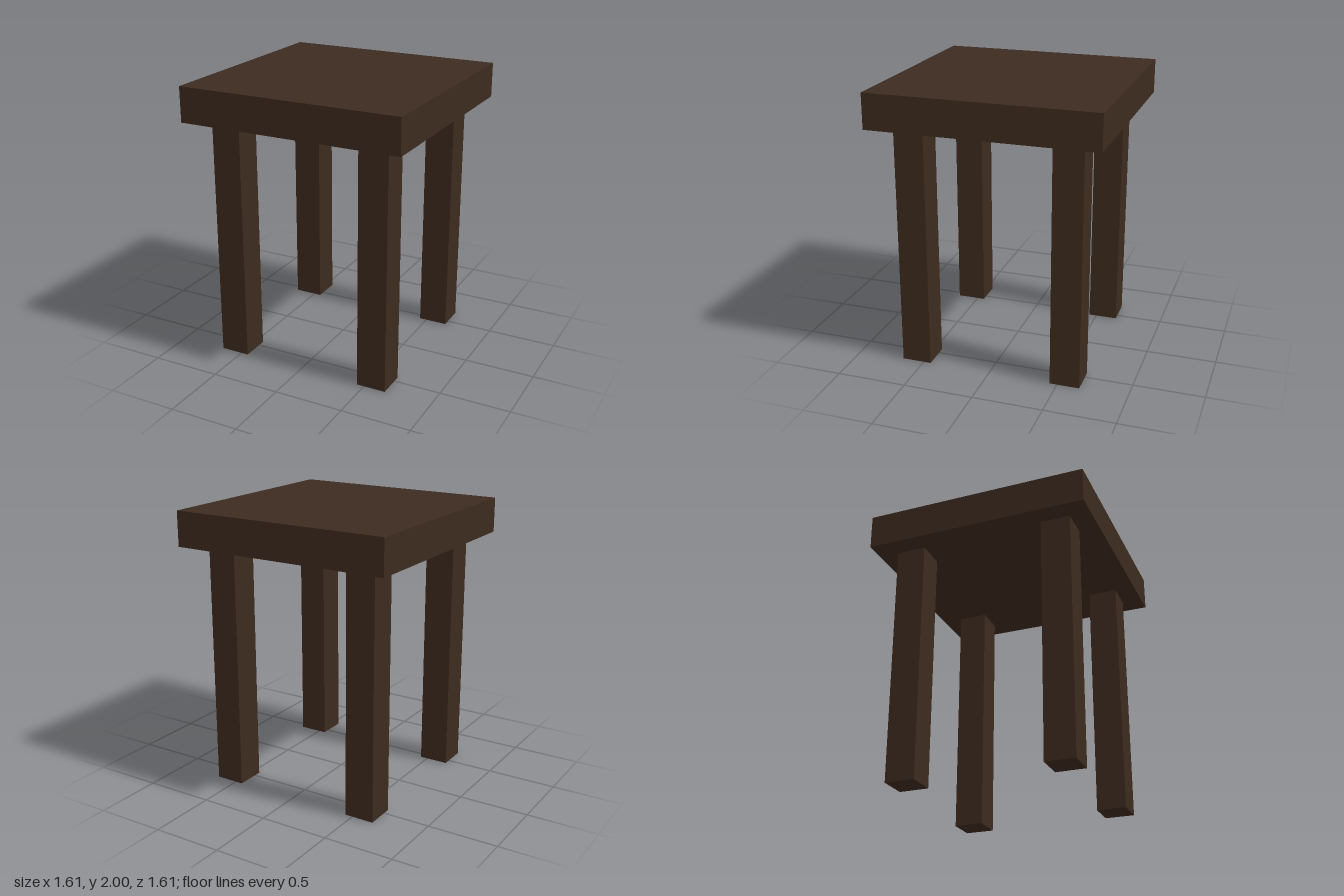
import * as THREE from 'three';

export function createModel() {
  const group = new THREE.Group();
  group.name = 'stool';

  const darkWood = new THREE.MeshStandardMaterial({ color: 0x3d2b1f });
  darkWood.name = 'darkWood';

  const seatWidth = 1.612, seatThickness = 0.25;
  const legWidth = 0.212, legHeight = 2 - seatThickness, legOffset = 0.553;

  // Square slab seat
  const seat = new THREE.Mesh(new THREE.BoxGeometry(seatWidth, seatThickness, seatWidth), darkWood);
  seat.name = 'seat';
  seat.position.y = 2 - seatThickness / 2;
  group.add(seat);

  // Four square legs, inset from the seat corners
  const legGeometry = new THREE.BoxGeometry(legWidth, legHeight, legWidth);
  for (const [zName, z] of [['front', 1], ['back', -1]]) {
    for (const [xName, x] of [['Left', 1], ['Right', -1]]) {
      const leg = new THREE.Mesh(legGeometry, darkWood);
      leg.name = `${zName}${xName}Leg`;
      leg.position.set(x * legOffset, legHeight / 2, z * legOffset);
      group.add(leg);
    }
  }

  return group;
}
